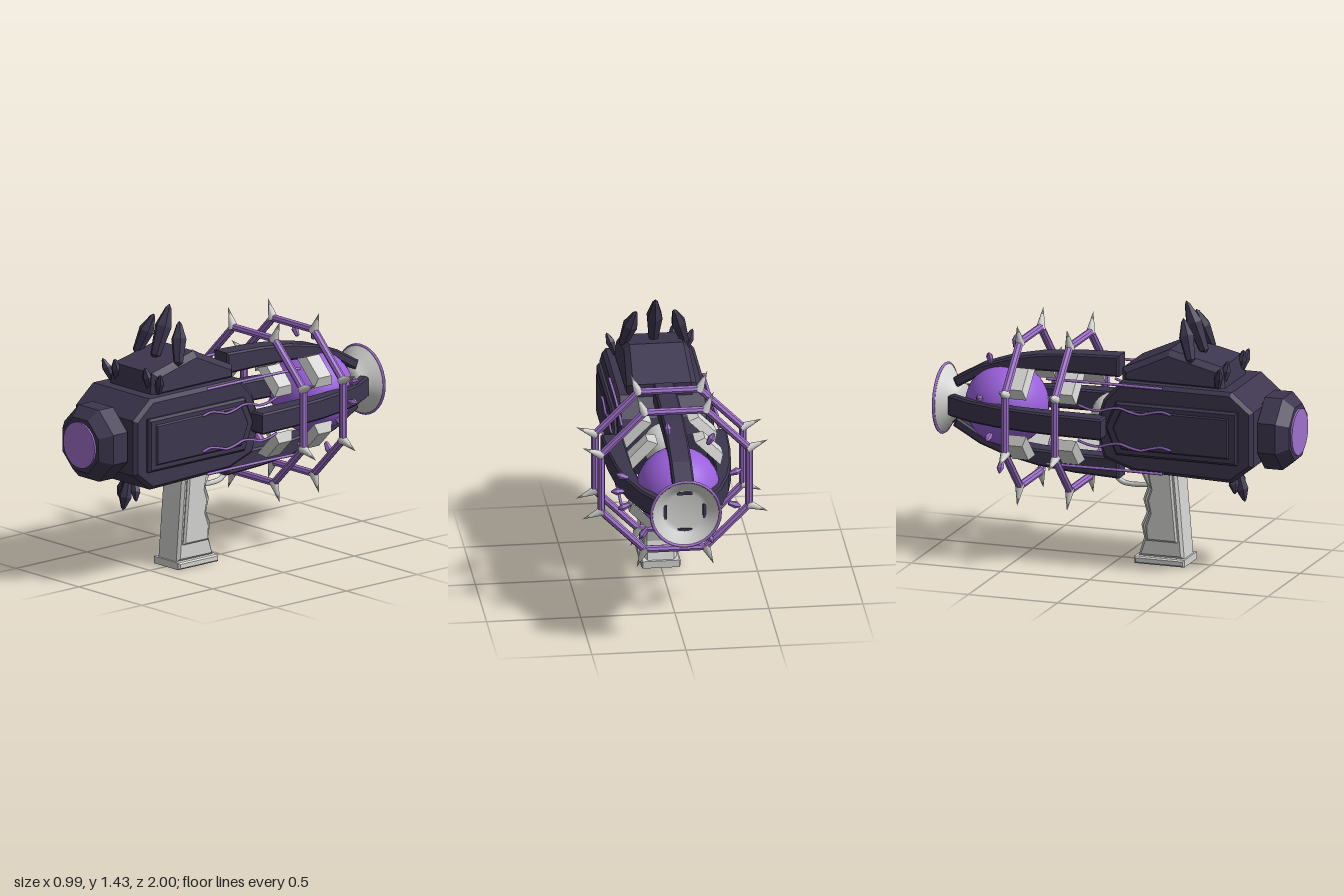
import * as THREE from 'three';

const AXIS = 0.775; // height of the barrel axis
const mat = (name, color, side = THREE.FrontSide) => {
  const m = new THREE.MeshStandardMaterial({ color, side });
  m.name = name;
  return m;
};

export function createModel() {
  const root = new THREE.Group();
  const dark = mat('dark plating', 0x3d364f);
  const light = mat('pale metal', 0xd4d4d2);
  const purple = mat('purple metal', 0x9f70cc);
  const glow = mat('purple orb', 0x9a60dc);

  const add = (name, geo, material, parent = root) => {
    const m = new THREE.Mesh(geo, material);
    m.name = name;
    parent.add(m);
    return m;
  };
  const flat = (g) => {
    const f = g.index ? g.toNonIndexed() : g;
    f.computeVertexNormals();
    return f;
  };
  // Side profile of [z, y] points, extruded across x and centred on x = 0
  const profile = (pts, width, bevel = 0.012) => {
    const s = new THREE.Shape(pts.map(([z, y]) => new THREE.Vector2(z, y)));
    const depth = width - 2 * bevel;
    const g = new THREE.ExtrudeGeometry(s, {
      depth, bevelEnabled: bevel > 0, bevelThickness: bevel, bevelSize: bevel,
      bevelOffset: -bevel, bevelSegments: 1,
    });
    return g.translate(0, 0, -depth / 2).rotateY(-Math.PI / 2);
  };
  const tube = (pts, r, seg = 24) => new THREE.TubeGeometry(
    new THREE.CatmullRomCurve3(pts.map((p) => new THREE.Vector3(...p))), seg, r, 6);
  const UP = new THREE.Vector3(0, 1, 0);
  // Faceted crystal running from one point to another
  const crystal = (name, from, to, w, material) => {
    const a = new THREE.Vector3(...from), d = new THREE.Vector3(...to).sub(a), h = d.length();
    const pts = [[0, 0], [w * 0.6, 0.08 * h], [w, 0.6 * h], [w * 0.35, 0.93 * h], [0, h]];
    const g = new THREE.LatheGeometry(pts.map((p) => new THREE.Vector2(...p)), 6);
    const m = add(name, flat(g), material);
    m.position.copy(a);
    m.quaternion.setFromUnitVectors(UP, d.normalize());
  };

  // Main body and upper housing
  add('body', profile([[0.82, 0.62], [0.82, 0.92], [0.7, 1.02], [0.07, 1.02], [-0.02, 0.92],
    [-0.05, 0.83], [-0.05, 0.7], [-0.02, 0.6], [0.15, 0.54], [0.7, 0.525]], 0.49, 0.02), dark);
  const housing = profile([[0.64, 1.0], [0.62, 1.13], [0.32, 1.2], [0.06, 1.08], [0.06, 1.0]], 0.38, 0.03);
  const hp = housing.attributes.position;
  for (let i = 0; i < hp.count; i++) {
    hp.setX(i, hp.getX(i) * (1 - 0.6 * Math.max(0, hp.getY(i) - 1.02)));
  }
  housing.computeVertexNormals();
  add('upperHousing', housing, dark);

  // Side panels, in two steps
  for (const s of [-1, 1]) {
    add('sidePanel', profile([[0.74, 0.63], [0.74, 0.92], [0.06, 0.92], [0, 0.78], [0.06, 0.63]],
      0.06), dark).position.x = s * 0.24;
    add('sidePanelInset', profile([[0.7, 0.66], [0.7, 0.89], [0.09, 0.89], [0.04, 0.78], [0.09, 0.66]],
      0.04), dark).position.x = s * 0.257;
  }

  // Eight-sided front drum with its lens
  const alongZ = (rFront, rBack, len, z, sides = 8) => flat(
    new THREE.CylinderGeometry(rFront, rBack, len, sides)
      .rotateY(Math.PI / 8).rotateX(Math.PI / 2).translate(0, AXIS, z));
  add('drumNeck', alongZ(0.17, 0.17, 0.03, 0.825), dark);
  add('drum', alongZ(0.211, 0.211, 0.1, 0.88), dark);
  add('drumChamfer', alongZ(0.155, 0.211, 0.06, 0.96), dark);
  add('lens', alongZ(0.125, 0.125, 0.01, 0.995, 24), purple);

  // Orb and the pale dome behind the body
  const orb = add('orb', new THREE.SphereGeometry(0.222, 36, 24), glow);
  orb.position.set(0, 0.78, -0.645);
  const dome = add('dome', new THREE.SphereGeometry(0.12, 24, 16), light);
  dome.position.set(0, AXIS, -0.045);

  // Four curved arms around the orb
  const armPts = [[0, 0.335], [-0.25, 0.325], [-0.45, 0.305], [-0.62, 0.27], [-0.78, 0.215], [-0.93, 0.13],
    [-0.91, 0.08], [-0.78, 0.155], [-0.62, 0.2], [-0.45, 0.215], [-0.25, 0.22], [0, 0.22]];
  for (let i = 0; i < 4; i++) {
    const arm = add('arm', profile(armPts, 0.115, 0.01), dark);
    arm.position.y = AXIS;
    arm.rotation.z = i * Math.PI / 2;
    // slot in the rear cup
    const holder = new THREE.Group();
    holder.name = 'cupSlot';
    holder.position.y = AXIS;
    holder.rotation.z = i * Math.PI / 2;
    root.add(holder);
    add('slot', new THREE.BoxGeometry(0.08, 0.018, 0.03).translate(0, 0.105, -0.935), dark, holder);
  }

  // Rear cup and rim
  const cup = [[0, 0.88], [0.08, 0.88], [0.1, 0.91], [0.135, 0.95], [0.188, 0.99],
    [0.176, 0.99], [0.125, 0.955], [0.1, 0.94], [0, 0.94]];
  add('rearCup', new THREE.LatheGeometry(cup.map((p) => new THREE.Vector2(...p)), 32)
    .rotateX(-Math.PI / 2).translate(0, AXIS + 0.005, 0), light);
  add('cupRim', new THREE.TorusGeometry(0.184, 0.008, 6, 32).translate(0, AXIS + 0.005, -0.992), purple);

  // Two spiked eight-sided rings with pale pads on their diagonals
  for (const z of [-0.235, -0.515]) {
    const ring = new THREE.Group();
    ring.name = 'spikedRing';
    ring.position.set(0, AXIS, z);
    root.add(ring);
    add('ring', flat(new THREE.TorusGeometry(0.425, 0.022, 8, 8).rotateZ(Math.PI / 8)), purple, ring);
    for (let i = 0; i < 8; i++) {
      const a = (i + 0.5) * Math.PI / 4;
      const spike = add('spike', new THREE.ConeGeometry(0.028, 0.12, 8), light, ring);
      spike.position.set(Math.cos(a) * 0.474, Math.sin(a) * 0.474, 0);
      spike.rotation.z = a - Math.PI / 2;
    }
    for (let i = 0; i < 4; i++) {
      const a = (i + 0.5) * Math.PI / 2;
      const pad = add('pad', flat(new THREE.CylinderGeometry(0.075, 0.105, 0.05, 4)
        .rotateY(Math.PI / 4).scale(1.3, 1, 0.85)), light, ring);
      pad.position.set(Math.cos(a) * 0.26, Math.sin(a) * 0.26, 0);
      pad.rotation.z = a - Math.PI / 2;
    }
  }

  // Straight rods and wavy veins along both sides
  for (const s of [-1, 1]) {
    for (const y of [1.01, 0.545]) {
      add('rod', tube([[s * 0.25, y, 0.32], [s * 0.25, y, 0.05], [s * 0.26, y, -0.33]], 0.008), purple);
    }
    for (const y of [0.88, 0.685]) {
      const pts = [];
      for (let i = 0; i <= 9; i++) {
        pts.push([s * 0.285, y + 0.013 * Math.sin(i * 1.5), 0.38 - i * 0.058]);
      }
      add('vein', tube(pts, 0.007, 40), purple);
    }
  }

  // Grip, side plates, foot and trigger
  add('grip', profile([[0.33, 0.56], [0.345, 0.4], [0.375, 0.04], [0.12, 0.04], [0.15, 0.14], [0.135, 0.21],
    [0.165, 0.28], [0.145, 0.35], [0.17, 0.42], [0.13, 0.5], [0.13, 0.56]], 0.17, 0.015), light);
  add('gripPlates', profile([[0.31, 0.53], [0.32, 0.4], [0.345, 0.13], [0.17, 0.13], [0.165, 0.21],
    [0.19, 0.28], [0.175, 0.35], [0.195, 0.41], [0.17, 0.53]], 0.2, 0.01), light);
  add('gripFoot', profile([[0.385, 0.006], [0.385, 0.045], [0.105, 0.045], [0.105, 0.006]], 0.21, 0.008), light)
    .position.y = -0.004;
  add('triggerGuard', tube([[0, 0.41, 0.15], [0, 0.405, 0.06], [0, 0.415, 0], [0, 0.46, -0.04],
    [0, 0.6, -0.045]], 0.014), light);
  add('trigger', tube([[0, 0.56, 0.08], [0, 0.52, 0.085], [0, 0.48, 0.11]], 0.016, 10), light);

  // Dark crystals: crest, housing corners and underside
  crystal('crestCrystal', [0, 1.15, 0.47], [0, 1.435, 0.36], 0.046, dark);
  crystal('bellyCrystal', [0, 0.54, 0.65], [0, 0.365, 0.69], 0.036, dark);
  for (const s of [-1, 1]) {
    crystal('crestCrystal', [s * 0.17, 1.14, 0.45], [s * 0.1, 1.365, 0.38], 0.042, dark);
    crystal('cornerCrystal', [s * 0.13, 1.03, 0.61], [s * 0.12, 1.16, 0.64], 0.028, dark);
    crystal('cornerCrystal', [s * 0.18, 1.02, 0.6], [s * 0.23, 1.14, 0.63], 0.026, dark);
    crystal('bellyCrystal', [s * 0.03, 0.54, 0.63], [s * 0.07, 0.42, 0.66], 0.028, dark);
  }

  // Small purple crystals floating around the orb: [x, y, z]
  const shards = [[0.3, 0.88, -0.68], [-0.3, 0.88, -0.69], [0.32, 0.78, -0.65], [-0.3, 0.67, -0.64],
    [0.28, 0.67, -0.6], [-0.17, 1.07, -0.68], [0.05, 1.11, -0.615], [-0.17, 0.48, -0.62], [0.18, 0.51, -0.6]];
  for (const [x, y, z] of shards) {
    const d = new THREE.Vector2(x, y - AXIS).normalize().multiplyScalar(0.038);
    crystal('shard', [x - d.x, y - d.y, z], [x + d.x, y + d.y, z], 0.02, purple);
  }
  return root;
}
